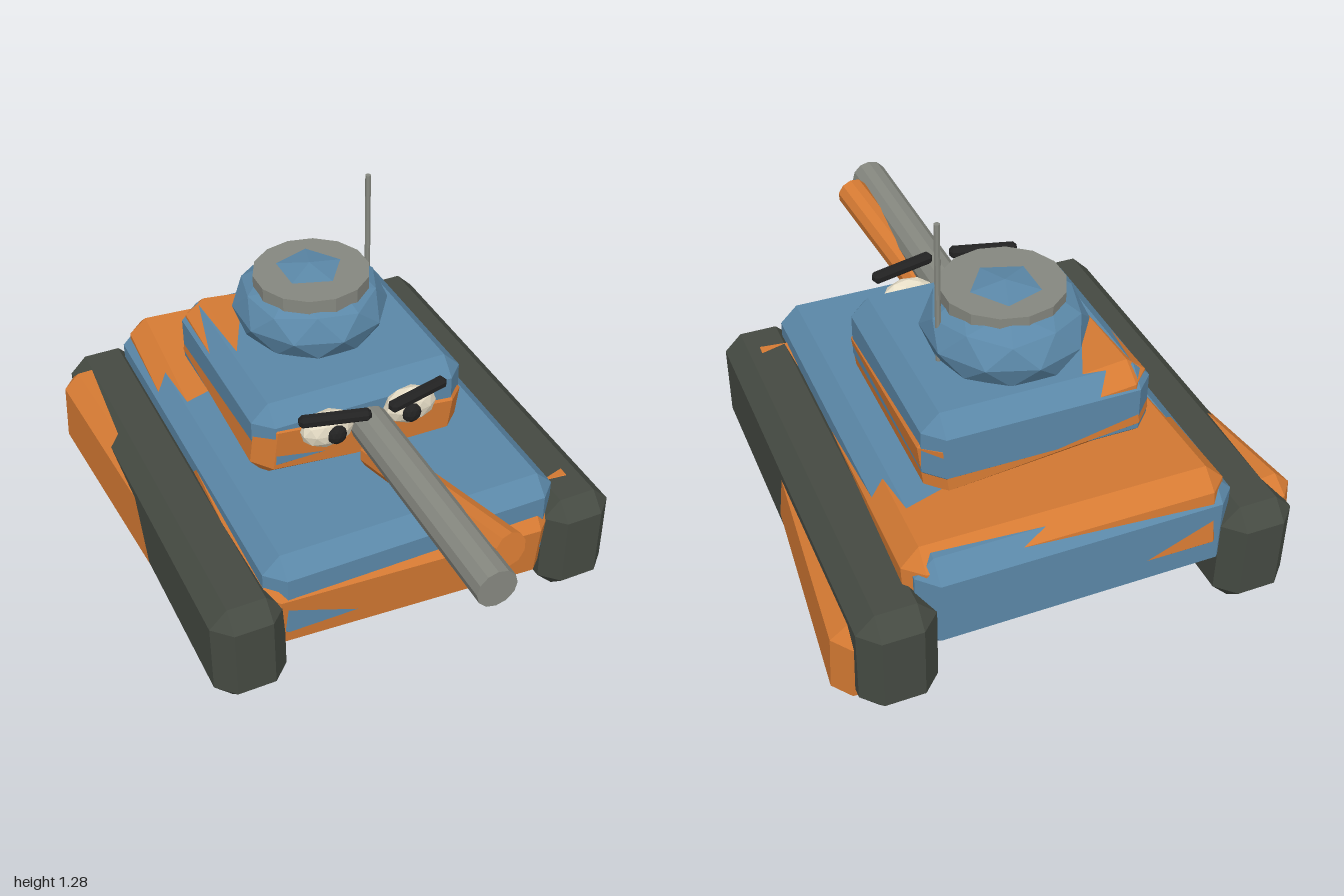
import * as THREE from 'three';
import { ConvexGeometry } from 'three/addons/geometries/ConvexGeometry.js';

const paint = (color) => new THREE.MeshStandardMaterial({ color, flatShading: true });
const blue = paint(0x5b88a8), orange = paint(0xd57a33), rubber = paint(0x454a42);
const steel = paint(0x868880), cream = paint(0xe6ddc6), black = paint(0x222222);

// Box with every edge cut at 45 degrees and triangular corners
function chamferBox(w, h, d, c) {
  const half = [w / 2, h / 2, d / 2], points = [];
  for (let axis = 0; axis < 3; axis++)
    for (const sx of [-1, 1]) for (const sy of [-1, 1]) for (const sz of [-1, 1]) {
      const s = [sx, sy, sz];
      points.push(new THREE.Vector3(...half.map((v, i) => s[i] * (i === axis ? v : v - c))));
    }
  return new ConvexGeometry(points);
}

// Faceted ball with a vertex at its top, stretched to the given radii
function facetedBall(rx, ry, rz) {
  const ball = new THREE.IcosahedronGeometry(1, 1);
  ball.rotateZ(-Math.atan(2 / (1 + Math.sqrt(5))));
  return ball.scale(rx, ry, rz);
}

export function createModel() {
  const model = new THREE.Group();
  const add = (name, geometry, material, position, rotation = [0, 0, 0]) => {
    const mesh = new THREE.Mesh(geometry, material);
    mesh.name = name;
    mesh.position.set(...position);
    mesh.rotation.set(...rotation);
    model.add(mesh);
    return mesh;
  };

  // Hull and its tilted orange armour shell
  add('hull', chamferBox(1.04, 0.34, 1.48, 0.06), blue, [0, 0.365, -0.21]);
  add('hullArmour', chamferBox(1.04, 0.31, 1.48, 0.06), orange, [0, 0.35, -0.197], [0.089, -0.036, -0.028]);

  // Turret and its tilted armour shell
  add('turret', chamferBox(0.76, 0.27, 0.765, 0.06), blue, [0, 0.66, -0.26]);
  add('turretArmour', chamferBox(0.76, 0.27, 0.765, 0.06), orange, [0, 0.626, -0.257], [0.05, -0.01, -0.11]);

  // Tracks, each with a skewed guard running through it
  for (const side of [-1, 1])
    add(side > 0 ? 'leftTrack' : 'rightTrack', chamferBox(0.25, 0.38, 1.58, 0.06), rubber, [side * 0.595, 0.24, -0.21]);
  add('leftTrackGuard', chamferBox(0.25, 0.32, 1.4, 0.055), orange, [0.6, 0.228, -0.22], [-0.067, -0.08, 0.02]);
  add('rightTrackGuard', chamferBox(0.25, 0.33, 1.4, 0.055), orange, [-0.6, 0.22, -0.22], [0.068, 0.08, -0.04]);

  // Cupola, hatch ring and aerial
  add('cupola', facetedBall(0.267, 0.155, 0.275), blue, [0, 0.87, -0.32]);
  add('hatchRing', new THREE.CylinderGeometry(0.2, 0.2, 0.06, 14), steel, [0, 0.976, -0.305]);
  add('aerial', new THREE.CylinderGeometry(0.01, 0.01, 0.49, 8), steel, [0.23, 1.045, -0.345]);

  // Gun barrel and the crooked second barrel beneath it
  const barrel = (name, radius, from, to, sides, material) => {
    const a = new THREE.Vector3(...from), b = new THREE.Vector3(...to);
    const mesh = add(name, new THREE.CylinderGeometry(radius, radius, a.distanceTo(b), sides), material,
      a.clone().add(b).multiplyScalar(0.5).toArray());
    mesh.quaternion.setFromUnitVectors(new THREE.Vector3(0, 1, 0), b.sub(a).normalize());
  };
  barrel('gunBarrel', 0.067, [-0.003, 0.678, 0.155], [-0.003, 0.678, 1], 12, steel);
  barrel('lowerBarrel', 0.057, [0.005, 0.573, 0.18], [0.103, 0.696, 0.89], 10, orange);

  // Face: eyes, pupils and slanted brows
  for (const side of [-1, 1]) {
    const prefix = side > 0 ? 'left' : 'right';
    add(prefix + 'Eye', facetedBall(0.094, 0.068, 0.05), cream, [side * 0.15, 0.702, 0.148]);
    add(prefix + 'Pupil', facetedBall(0.034, 0.036, 0.022), black, [side * 0.135, 0.7, 0.192]);
    add(prefix + 'Brow', chamferBox(0.235, 0.04, 0.042, 0.012), black, [side * 0.148, 0.782, 0.205], [0, side * 0.25, 0]);
  }
  return model;
}
